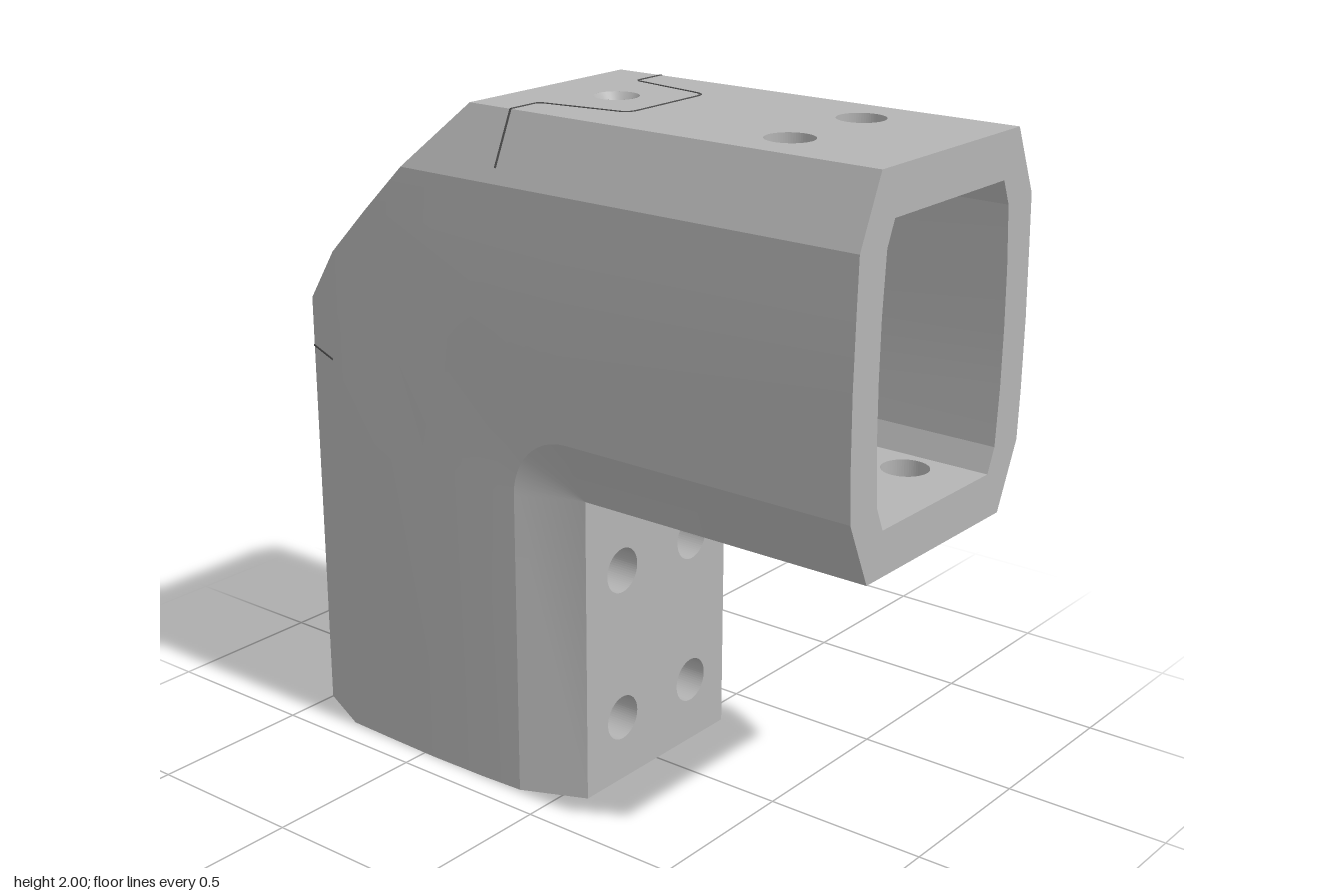
import * as THREE from 'three';
import { toCreasedNormals } from 'three/addons/utils/BufferGeometryUtils.js';

const V = (x, y, z) => new THREE.Vector3(x, y, z);
const IY = 0.93, IZ = 0.07;      // inner corner of the elbow
const STOP = 0.1;                // depth where each socket ends
const N = 12;                    // steps around the bend

// Skin a list of cross-sections
function loft(rings) {
  const pos = [], index = [], n = rings[0].length;
  rings.forEach(r => r.forEach(p => pos.push(p.x, p.y, p.z)));
  for (let i = 0; i < rings.length - 1; i++) {
    for (let j = 0; j < n - 1; j++) {
      const a = i * n + j, b = a + 1, c = a + n, d = c + 1;
      index.push(a, b, c, b, d, c);
    }
  }
  const g = new THREE.BufferGeometry();
  g.setAttribute('position', new THREE.Float32BufferAttribute(pos, 3));
  g.setIndex(index);
  return toCreasedNormals(g, 0.3);
}

// Half profiles: half width and distance from the inner face
const OUTER = [[0.325, 1.07], [0.41, 0.88], [0.415, 0.735], [0.42, 0.535], [0.417, 0.33], [0.41, 0.19], [0.325, 0]];
const INNER = [[0.26, 0.94], [0.29, 0.87], [0.302, 0.7], [0.305, 0.535], [0.302, 0.37], [0.29, 0.2], [0.26, 0.13]];

// Point on the bend: rounded on the inside, mitred and cut off on the outside
function bend(x, d, k) {
  if (d < 0.6) {
    const a = (k / N) * Math.PI / 2;
    return V(x, IY + d * Math.cos(a), IZ - d * Math.sin(a));
  }
  const cut = Math.max(0, 2 * d - 1.47);
  const path = [V(x, IY + d, IZ), V(x, IY + d, IZ - d + cut), V(x, IY + d - cut, IZ - d), V(x, IY, IZ - d)];
  if (k <= 3) return path[0].lerp(path[1], k / 3);
  if (k <= 9) return path[1].lerp(path[2], (k - 3) / 6);
  return path[2].lerp(path[3], (k - 9) / 3);
}

function outline(profile) {
  const right = profile.map(([x, d]) => new THREE.Vector2(x, IY + d));
  const left = profile.map(([x, d]) => new THREE.Vector2(-x, IY + d)).reverse();
  return [...right, ...left];
}

// Flat wall with round holes, lying at height y from z0 back to z1
function plate(y, z0, z1, holes) {
  const w = 0.325;
  const s = new THREE.Shape([[-w, -z0], [w, -z0], [w, -z1], [-w, -z1]].map(p => new THREE.Vector2(...p)));
  holes.forEach(([x, z, r]) => {
    const h = new THREE.Path();
    h.absarc(x, -z, r, 0, Math.PI * 2, true);
    s.holes.push(h);
  });
  const g = new THREE.ExtrudeGeometry(s, { depth: 0.13, bevelEnabled: false, curveSegments: 32 });
  return g.rotateX(-Math.PI / 2).translate(0, y, 0);
}

export function createModel() {
  const grey = new THREE.MeshStandardMaterial({ color: 0xb4b4b4, side: THREE.DoubleSide });
  grey.name = 'grey';
  const dark = new THREE.MeshStandardMaterial({ color: 0x505050 });
  dark.name = 'seamGrey';

  const model = new THREE.Group();
  model.name = 'elbowConnector';
  const half = new THREE.Group();
  half.name = 'upperArm';
  const add = (parent, name, geometry, material = grey) => {
    const m = new THREE.Mesh(geometry, material);
    m.name = name;
    parent.add(m);
    return m;
  };

  // Side wall running through the bend
  const rings = [OUTER.map(([x, d]) => V(x, IY + d, 1))];
  for (let k = 0; k <= N; k++) rings.push(OUTER.map(([x, d]) => bend(x, d, k)));
  rings.push(OUTER.map(([x, d]) => V(x, 0, IZ - d)));
  add(half, 'sideWall', loft(rings));

  // Outer and inner walls with bolt holes
  const bolts = zs => zs.flatMap(z => [[-0.163, z, 0.068], [0.163, z, 0.068]]);
  add(half, 'outerWall', plate(1.87, 1, -0.33, [...bolts([0.62]), [0, -0.08, 0.065]]));
  add(half, 'innerWall', plate(IY, 1, IZ, bolts([0.8, 0.33])));

  // Socket: end rim, inside walls and stop
  const rim = new THREE.Shape(outline(OUTER));
  rim.holes.push(new THREE.Path(outline(INNER)));
  add(half, 'endRim', new THREE.ShapeGeometry(rim).translate(0, 0, 1));
  for (const s of [1, -1]) {
    const prof = s > 0 ? [...INNER].reverse() : INNER;
    add(half, 'socketWall', loft([1, STOP].map(z => prof.map(([x, d]) => V(s * x, IY + d, z)))));
  }
  const stop = new THREE.Shape(outline(INNER));
  stop.holes.push(new THREE.Path([[-0.245, 1.135], [0.245, 1.135], [0.245, 1.8], [-0.245, 1.8]]
    .map(p => new THREE.Vector2(...p))));
  add(half, 'socketStop', new THREE.ShapeGeometry(stop).translate(0, 0, STOP));

  // Countersunk screw seat
  const seat = [[0.065, 0], [0.045, -0.03], [0.03, -0.035], [0.03, -0.06], [0.018, -0.06], [0.018, -0.09], [0, -0.09]];
  const seatGeo = new THREE.LatheGeometry(seat.map(p => new THREE.Vector2(...p)), 32);
  add(half, 'screwSeat', toCreasedNormals(seatGeo, 0.3)).position.set(0, 2, -0.08);

  // Seam of the corner cover, with its tongue
  const seam = [V(0.392, 1.85, -0.18), V(0.325, 2, -0.18), V(0.222, 2, -0.18), V(0.21, 2, -0.168),
    V(0.17, 2, 0.075), V(0.158, 2, 0.094), V(0.135, 2, 0.1), V(0, 2, 0.1)];
  for (const s of [1, -1]) {
    for (let i = 0; i < seam.length - 1; i++) {
      const a = seam[i].clone(), b = seam[i + 1].clone();
      a.x *= s;
      b.x *= s;
      const line = add(half, 'coverSeam', new THREE.BoxGeometry(0.006, 0.004, a.distanceTo(b)), dark);
      line.position.copy(a).add(b).multiplyScalar(0.5);
      line.lookAt(b);
    }
  }
  model.add(half);

  // Second arm: the first turned half a revolution about the mitre line
  const other = half.clone();
  other.name = 'lowerArm';
  other.quaternion.setFromAxisAngle(V(0, 1, -1).normalize(), Math.PI);
  other.position.set(0, 1, 1);
  model.add(other);

  // Sloping face across the outer corner
  add(model, 'cornerFace', loft([3, 9].map(k => [bend(-0.325, 1.07, k), bend(0.325, 1.07, k)])));

  // Rectangular passage joining the sockets: outer and inner (y, z) at each station
  const stations = [[1.8, STOP, 1.135, STOP], [1.8, -0.18, 1.135, -0.135],
    [1.18, -0.8, 1.135, -0.135], [1 - STOP, -0.8, 1 - STOP, -0.135]];
  const w = 0.245;
  add(model, 'passage', loft(stations.map(([oy, oz, iy, iz]) =>
    [V(w, iy, iz), V(w, oy, oz), V(-w, oy, oz), V(-w, iy, iz), V(w, iy, iz)])));

  return model;
}
